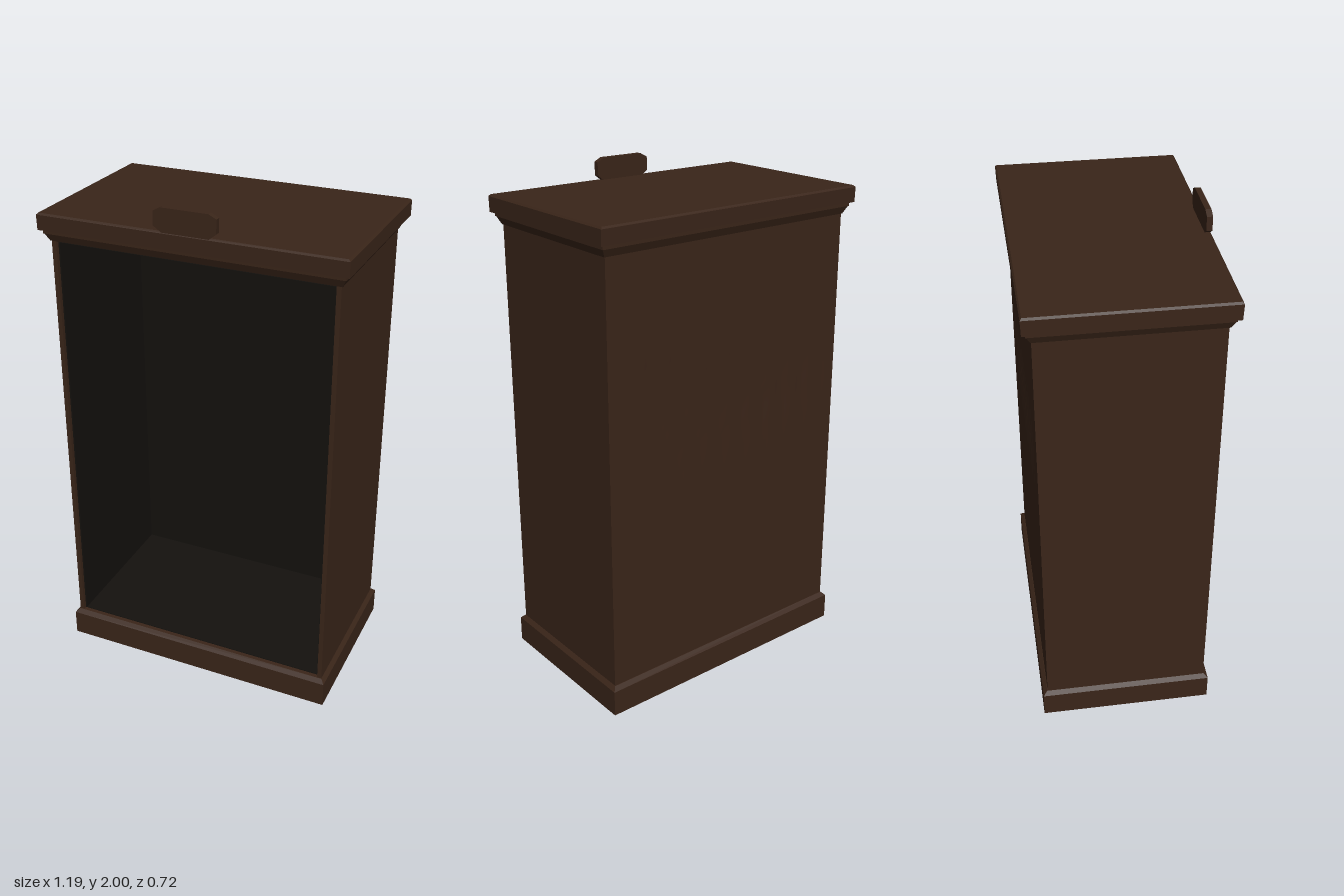
import * as THREE from 'three';

const wood = new THREE.MeshStandardMaterial({ color: 0x3a2519 });
const darkWood = new THREE.MeshStandardMaterial({ color: 0x14110e });

export function createModel() {
  const model = new THREE.Group();

  function add(name, geometry, material, x = 0, y = 0, z = 0) {
    const mesh = new THREE.Mesh(geometry, material);
    mesh.name = name;
    mesh.position.set(x, y, z);
    model.add(mesh);
    return mesh;
  }

  // Rectangular block from y0 to y1 whose half sizes change from bottom to top
  function block(name, y0, y1, [x0, z0], [x1, z1]) {
    const g = new THREE.BoxGeometry(2, y1 - y0, 2);
    const p = g.attributes.position;
    for (let i = 0; i < p.count; i++) {
      const top = p.getY(i) > 0;
      p.setX(i, p.getX(i) * (top ? x1 : x0));
      p.setZ(i, p.getZ(i) * (top ? z1 : z0));
    }
    g.computeVertexNormals();
    add(name, g, wood, 0, (y0 + y1) / 2, 0);
  }

  // Plinth with a bevelled top edge
  block('plinth', 0, 0.105, [0.575, 0.343], [0.575, 0.343]);
  block('plinthBevel', 0.105, 0.12, [0.575, 0.343], [0.56, 0.327]);

  // Stepped cornice and top board
  block('corniceCove', 1.805, 1.835, [0.563, 0.328], [0.578, 0.342]);
  block('corniceStep', 1.835, 1.85, [0.58, 0.345], [0.58, 0.345]);
  block('topBoard', 1.85, 1.908, [0.595, 0.358], [0.595, 0.36]);
  block('topBoardBevel', 1.908, 1.915, [0.595, 0.36], [0.588, 0.354]);

  // Side walls with dark inner linings
  for (const s of [-1, 1]) {
    const side = s > 0 ? 'left' : 'right';
    add(side + 'Wall', new THREE.BoxGeometry(0.018, 1.7, 0.65), wood, s * 0.55, 0.96, 0);
    add(side + 'Lining', new THREE.BoxGeometry(0.006, 1.7, 0.63), darkWood, s * 0.538, 0.96, -0.005);
  }

  // Back wall, with shallow slanting scratches across its upper half
  const back = new THREE.BoxGeometry(1.116, 1.7, 0.018, 60, 48, 1);
  const p = back.attributes.position;
  for (let i = 0; i < p.count; i++) {
    const x = p.getX(i), y = p.getY(i);
    if (p.getZ(i) > 0) continue;
    const fade = Math.exp(-(((y - 0.27) / 0.25) ** 2)) * Math.max(0, 1 - (x / 0.55) ** 4);
    const groove = Math.max(0, Math.sin(x * 55 - y * 14 + Math.sin(y * 9 + x * 4)));
    p.setZ(i, p.getZ(i) + 0.007 * fade * groove);
  }
  back.computeVertexNormals();
  add('backWall', back, wood, 0, 0.96, -0.316);
  add('backLining', new THREE.BoxGeometry(1.08, 1.7, 0.006), darkWood, 0, 0.96, -0.304);

  // Cabinet floor and sloping ceiling
  add('floor', new THREE.BoxGeometry(1.08, 0.006, 0.62), darkWood, 0, 0.12, 0);
  const slope = new THREE.Shape([
    new THREE.Vector2(-0.32, 1.8), new THREE.Vector2(0.3, 1.8),
    new THREE.Vector2(0.3, 1.68), new THREE.Vector2(0.1, 1.72),
  ]);
  const ceiling = new THREE.ExtrudeGeometry(slope, { depth: 1.08, bevelEnabled: false });
  ceiling.rotateY(Math.PI / 2);
  add('ceiling', ceiling, darkWood, -0.54, 0, 0);

  // Small upright crest plate at the front edge of the top
  const crest = new THREE.Shape([
    new THREE.Vector2(-0.09, 1.91), new THREE.Vector2(0.09, 1.91),
    new THREE.Vector2(0.118, 1.932), new THREE.Vector2(0.12, 1.985),
    new THREE.Vector2(0.09, 2), new THREE.Vector2(-0.09, 2),
    new THREE.Vector2(-0.12, 1.985), new THREE.Vector2(-0.122, 1.932),
  ]);
  add('crest', new THREE.ExtrudeGeometry(crest, { depth: 0.022, bevelEnabled: false }), wood, 0, 0, 0.336);

  return model;
}
